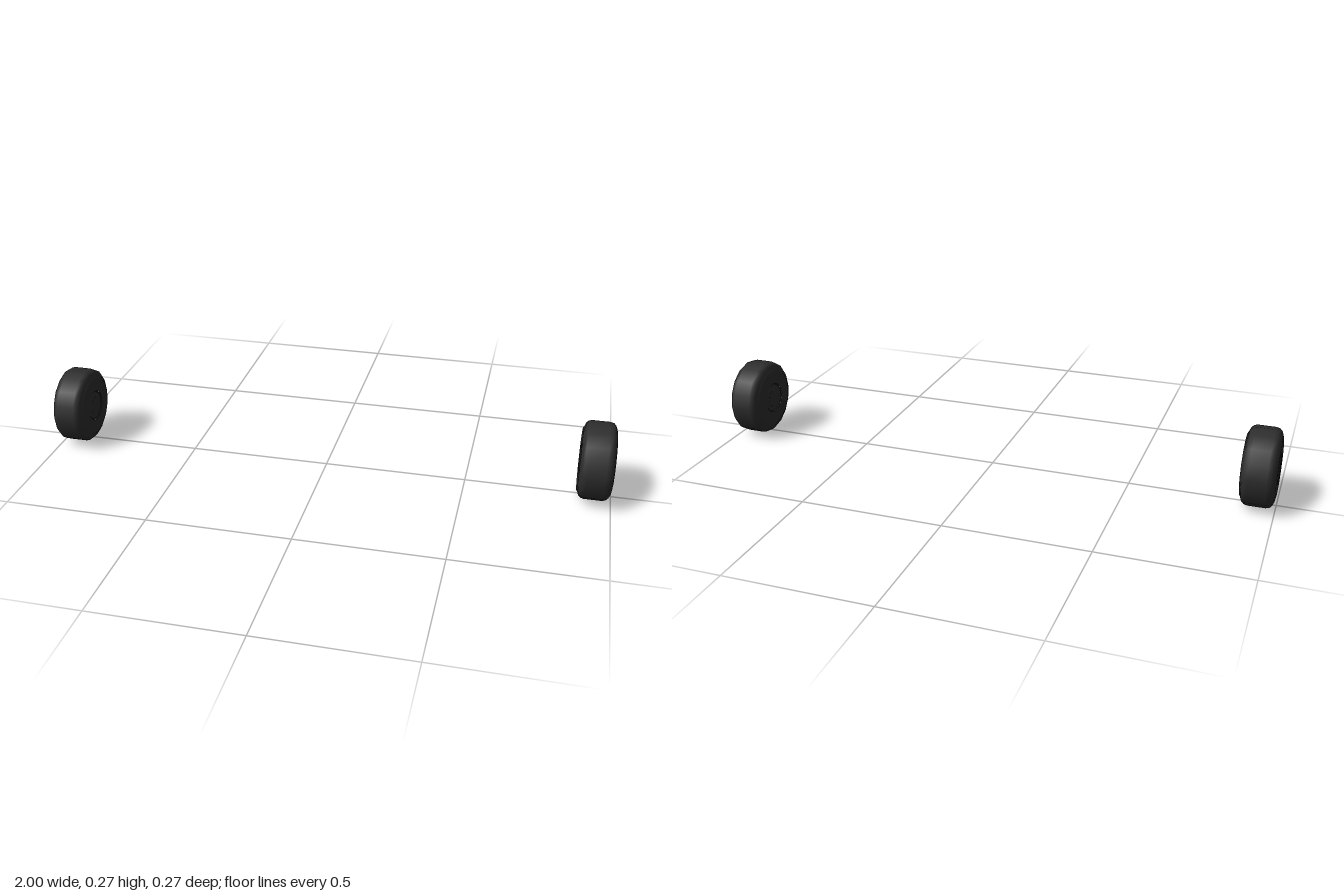
import * as THREE from 'three';

const SIDES = 16, RADIUS = 0.135, CENTRE_X = 0.94;
const rubber = new THREE.MeshStandardMaterial({ color: 0x2d2d2d });
rubber.name = 'dark rubber';

// Lathe around the axle; profile pairs are [radius, distance along axle], inner to outer
function turned(name, profile, sides = SIDES) {
  const points = profile.map(([r, x]) => new THREE.Vector2(r, x));
  const geometry = new THREE.LatheGeometry(points, sides, -0.027);
  geometry.rotateZ(-Math.PI / 2);
  const mesh = new THREE.Mesh(geometry, rubber);
  mesh.name = name;
  return mesh;
}

// Stepped hub rings on one face: separate turned pieces keep the edges crisp
function createHub(name) {
  const hub = new THREE.Group();
  hub.name = name;
  hub.add(turned('hubGroove', [[0.052, 0.052], [0.055, 0.058]].reverse().map(([r, x]) => [r, x])));
  hub.add(turned('hubPlate', [[0.052, 0.052], [0.051, 0.057], [0.034, 0.058]]));
  hub.add(turned('hubStep', [[0.034, 0.058], [0.033, 0.0592], [0.013, 0.0595]]));
  hub.add(turned('axleCap', [[0.013, 0.0595], [0.012, 0.06], [0, 0.06]]));
  return hub;
}

function createWheel(name) {
  const wheel = new THREE.Group();
  wheel.name = name;
  // Tread with softly rounded outer shoulder and sidewall
  wheel.add(turned('tread', [
    [0.112, -0.054], [0.124, -0.05], [0.132, -0.042], [RADIUS, -0.03],
    [RADIUS, 0.03], [0.132, 0.042], [0.124, 0.05], [0.112, 0.055],
    [0.095, 0.058], [0.055, 0.058],
  ]));
  // Flat inner sidewall with a crisp rim
  wheel.add(turned('innerSidewall', [[0.055, -0.058], [0.107, -0.058], [0.112, -0.054]]));
  const outerHub = createHub('outerHub');
  const innerHub = createHub('innerHub');
  innerHub.rotation.y = Math.PI;
  wheel.add(outerHub, innerHub);
  return wheel;
}

export function createModel() {
  const model = new THREE.Group();
  model.name = 'wheelPair';
  for (const side of [1, -1]) {
    const wheel = createWheel(side > 0 ? 'leftWheel' : 'rightWheel');
    wheel.position.set(side * CENTRE_X, RADIUS, 0);
    if (side < 0) wheel.rotation.y = Math.PI;
    model.add(wheel);
  }
  return model;
}
